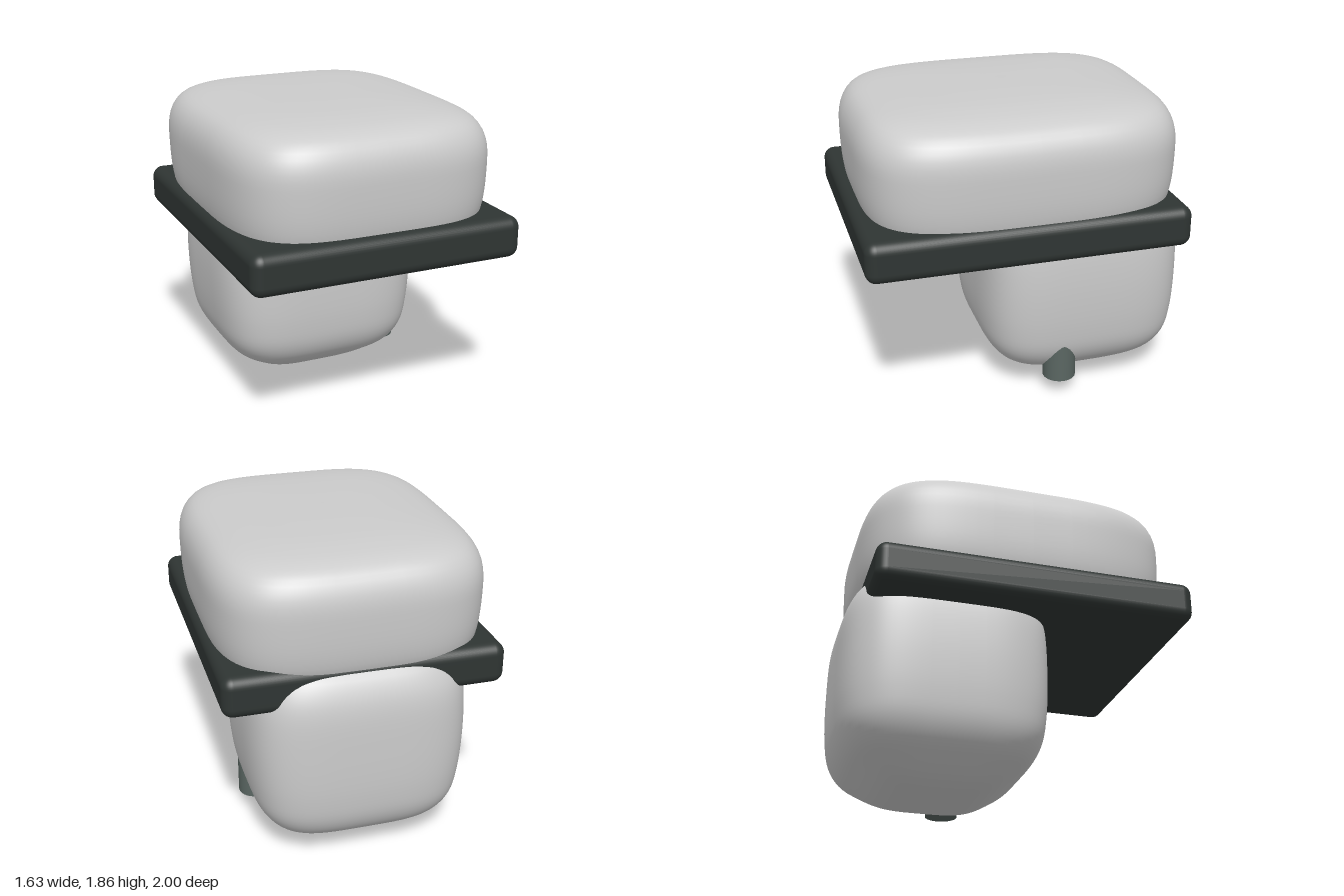
import * as THREE from 'three';
import { RoundedBoxGeometry } from 'three/addons/geometries/RoundedBoxGeometry.js';

// Soft block: superellipse cross-sections lofted up a smooth profile of [halfX, y, halfZ]
function softBlock(profile, zCentre, power, segments = 96, rings = 72) {
  const curve = new THREE.CatmullRomCurve3(profile.map((p) => new THREE.Vector3(...p)), false, 'centripetal');
  const positions = [];
  const indices = [];
  const bend = (v) => Math.sign(v) * Math.abs(v) ** (2 / power);
  for (let i = 0; i <= rings; i++) {
    const p = curve.getPointAt(i / rings);
    for (let j = 0; j < segments; j++) {
      const a = (j / segments) * Math.PI * 2;
      positions.push(p.x * bend(Math.cos(a)), p.y, zCentre + p.z * bend(Math.sin(a)));
      if (i === rings) continue;
      const b = i * segments + j;
      const c = i * segments + ((j + 1) % segments);
      indices.push(b, b + segments, c, c, b + segments, c + segments);
    }
  }
  const geometry = new THREE.BufferGeometry();
  geometry.setAttribute('position', new THREE.Float32BufferAttribute(positions, 3));
  geometry.setIndex(indices);
  geometry.computeVertexNormals();
  return geometry;
}

export function createModel() {
  const group = new THREE.Group();
  const add = (name, geometry, color, x = 0, y = 0, z = 0) => {
    const mesh = new THREE.Mesh(geometry, new THREE.MeshStandardMaterial({ color }));
    mesh.name = name;
    mesh.position.set(x, y, z);
    group.add(mesh);
  };

  // Wide pillowy block above the slab
  add('upperBlock', softBlock([
    [0, 1.08, 0], [0.55, 1.085, 0.68], [0.7, 1.12, 0.84], [0.765, 1.2, 0.9],
    [0.79, 1.3, 0.925], [0.803, 1.5, 0.937], [0.8, 1.62, 0.933], [0.778, 1.7, 0.91],
    [0.73, 1.765, 0.865], [0.65, 1.805, 0.79], [0.5, 1.835, 0.62], [0.28, 1.85, 0.35], [0, 1.855, 0],
  ], 0.015, 4), 0xcccccc);

  // Tall block below, set to the back, with a rounded underside
  add('lowerBlock', softBlock([
    [0, 0, 0], [0.17, 0.01, 0.16], [0.32, 0.05, 0.31], [0.44, 0.12, 0.43],
    [0.54, 0.2, 0.53], [0.6, 0.3, 0.585], [0.63, 0.45, 0.61], [0.648, 0.75, 0.618],
    [0.635, 1, 0.607], [0.61, 1.1, 0.58], [0.55, 1.19, 0.525], [0.4, 1.25, 0.4], [0, 1.28, 0],
  ], -0.38, 4), 0xcccccc);

  // Dark slab between the two blocks
  add('slab', new RoundedBoxGeometry(1.63, 0.245, 1.895, 5, 0.065), 0x2f3533, 0, 1.128, 0.0525);

  // Small peg half sunk in the lower left side
  add('peg', new THREE.CylinderGeometry(0.1, 0.1, 0.25, 32), 0x5a6662, 0.51, 0.225, -0.2);

  return group;
}
